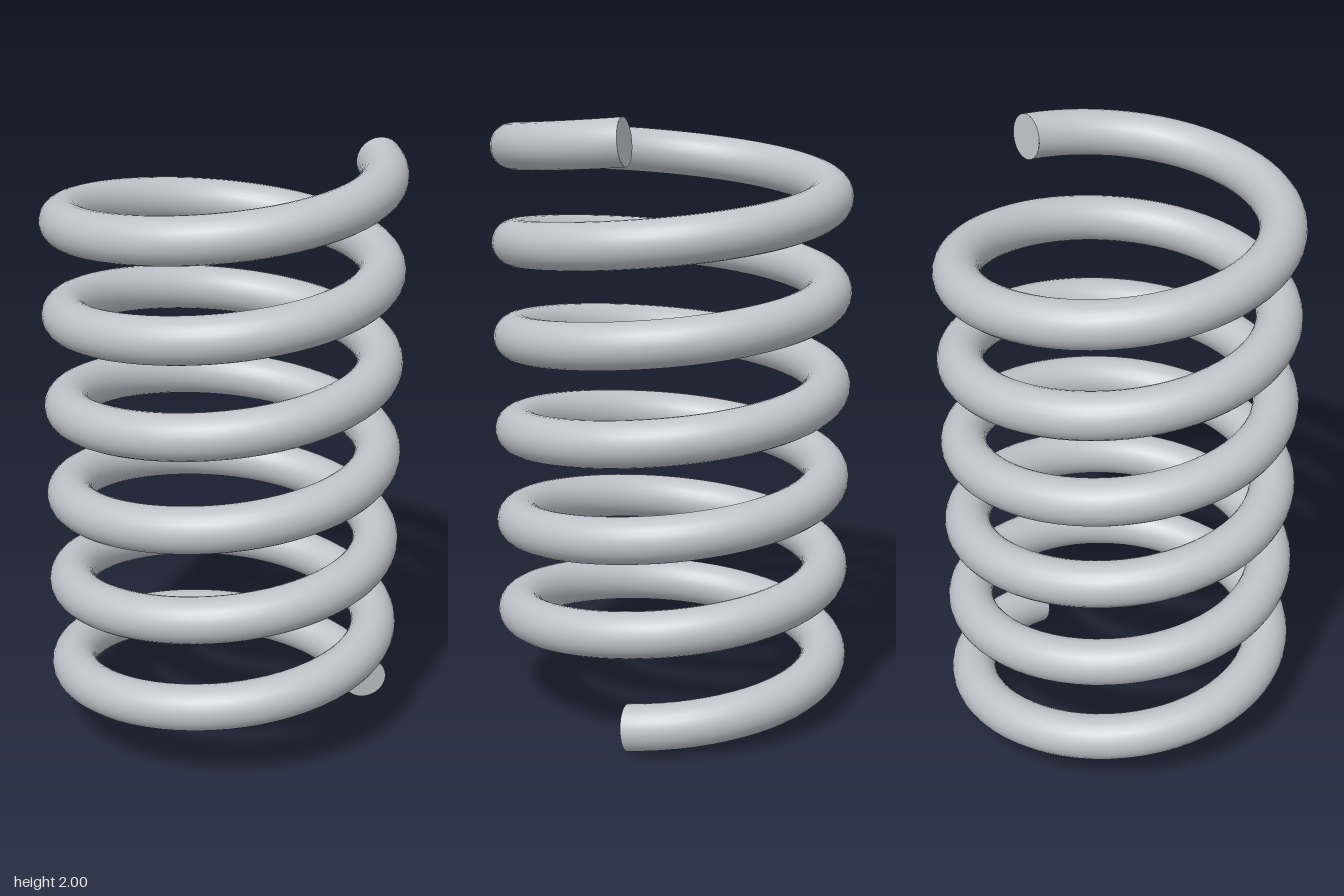
import * as THREE from 'three';

const TURNS = 6, COIL_RADIUS = 0.508, WIRE_RADIUS = 0.075;
const Y_START = 0.0747, Y_END = 2 - Y_START;

// Centre line of the wire, rising from +x towards the back
class Helix extends THREE.Curve {
  getPoint(t, target = new THREE.Vector3()) {
    const a = t * TURNS * Math.PI * 2;
    return target.set(
      COIL_RADIUS * Math.cos(a),
      Y_START + (Y_END - Y_START) * t,
      -COIL_RADIUS * Math.sin(a)
    );
  }
  getTangent(t, target = new THREE.Vector3()) {
    const a = t * TURNS * Math.PI * 2, w = TURNS * Math.PI * 2;
    return target.set(
      -COIL_RADIUS * w * Math.sin(a),
      Y_END - Y_START,
      -COIL_RADIUS * w * Math.cos(a)
    ).normalize();
  }
}

export function createModel() {
  const group = new THREE.Group();
  group.name = 'coilSpring';
  const steel = new THREE.MeshStandardMaterial({ color: 0xbfc2c9 });
  steel.name = 'steel';

  // Coiled wire
  const helix = new Helix();
  const coil = new THREE.Mesh(new THREE.TubeGeometry(helix, TURNS * 64, WIRE_RADIUS, 24), steel);
  coil.name = 'coil';
  group.add(coil);

  // Flat cut ends, square to the wire
  for (const [name, t, side] of [['bottomEnd', 0, -1], ['topEnd', 1, 1]]) {
    const end = new THREE.Mesh(new THREE.CircleGeometry(WIRE_RADIUS, 24), steel);
    end.name = name;
    end.position.copy(helix.getPoint(t));
    end.lookAt(end.position.clone().addScaledVector(helix.getTangent(t), side));
    group.add(end);
  }
  return group;
}
